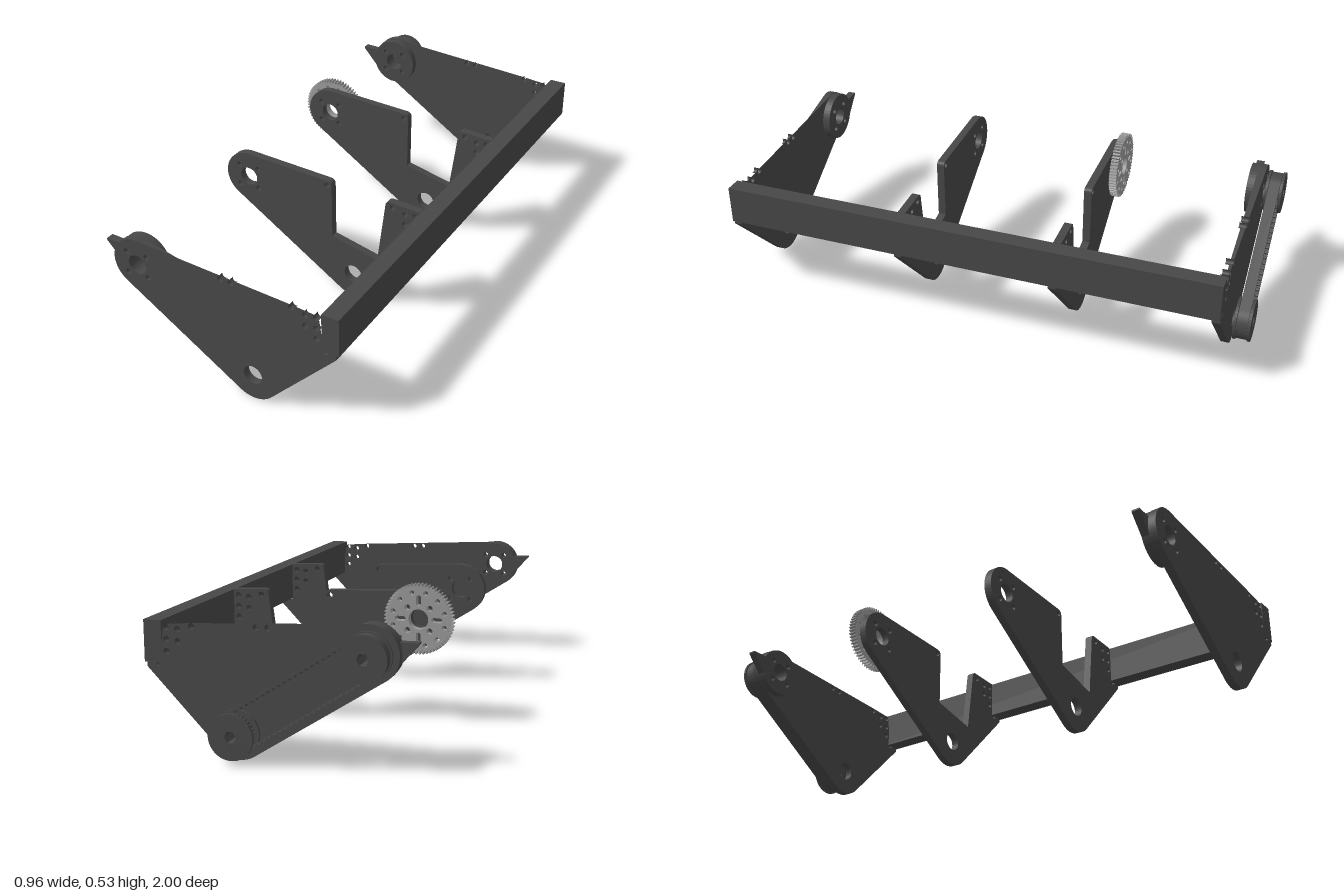
import * as THREE from 'three';

const A = [-0.327, 0.4];   // upper shaft centre
const B = [0.135, 0.1];    // lower shaft centre
const BOLT = 0.011, BORE = 0.037, HEX = 0.022;
const TURN = Math.PI * 2;

const dark = new THREE.MeshStandardMaterial({ color: 0x474747 });
dark.name = 'dark grey';
const light = new THREE.MeshStandardMaterial({ color: 0x999999 });
light.name = 'light grey';

function hole(shape, x, y, r) {
  shape.holes.push(new THREE.Path().absarc(x, y, r, 0, TURN, true));
}

// Four bolt holes and the bearing bore round the upper shaft
function hubHoles(shape, [cx, cy]) {
  hole(shape, cx, cy, BORE);
  for (const sx of [-1, 1]) for (const sy of [-1, 1]) {
    hole(shape, cx + sx * 0.042, cy + sy * 0.042, BOLT);
  }
}

function hexHole(shape, [cx, cy]) {
  const pts = [];
  for (let i = 0; i < 6; i++) {
    const a = -i * TURN / 6;
    pts.push(new THREE.Vector2(cx + HEX * Math.cos(a), cy + HEX * Math.sin(a)));
  }
  shape.holes.push(new THREE.Path(pts));
}

// Flat part spanning z0 to z1
function slab(name, shape, z0, z1, material = dark) {
  const geo = new THREE.ExtrudeGeometry(shape, { depth: z1 - z0, bevelEnabled: false, curveSegments: 20 });
  geo.translate(0, 0, z0);
  const mesh = new THREE.Mesh(geo, material);
  mesh.name = name;
  return mesh;
}

// Side plate, notched for the beam; the inner ones also have a cutout in the top edge
function plateShape(cutout) {
  const s = new THREE.Shape();
  s.moveTo(0.415, 0.464);
  if (cutout) {
    s.lineTo(0.29, 0.471);
    s.quadraticCurveTo(0.275, 0.471, 0.273, 0.456);
    s.lineTo(0.24, 0.2);
    s.lineTo(0.045, 0.245);
    s.lineTo(0.045, 0.462);
    s.quadraticCurveTo(0.045, 0.482, 0.025, 0.483);
  }
  s.absarc(A[0], A[1], 0.1, 1.52, 4.136, false);
  s.absarc(B[0], B[1], 0.1, 4.136, 5.513, false);
  s.lineTo(0.47, 0.3);
  s.lineTo(0.47, 0.315);
  s.absarc(0.427, 0.315, BOLT, 0, Math.PI, true);
  s.closePath();
  hubHoles(s, A);
  hole(s, B[0], B[1], BORE);
  const bolts = [[0.302, 0.45], [0.354, 0.437], [0.396, 0.442], [0.354, 0.395], [0.396, 0.4], [0.396, 0.358], [0.025, 0.463]];
  if (!cutout) bolts.push([0.067, 0.461]);
  for (const [x, y] of bolts) hole(s, x, y, BOLT);
  return s;
}

// Disc with a pointed finger
function pointerShape() {
  const s = new THREE.Shape();
  s.absarc(A[0], A[1], 0.098, -2.8, 2.72, false);
  s.lineTo(-0.481, 0.442);
  s.lineTo(-0.481, 0.436);
  s.closePath();
  hubHoles(s, A);
  return s;
}

// Ring of trapezoid teeth
function toothedShape([cx, cy], count, root, tip) {
  const s = new THREE.Shape();
  for (let i = 0; i < count; i++) {
    for (const [f, r] of [[0, root], [0.28, root], [0.5, tip], [0.75, tip]]) {
      const a = (i + f) * TURN / count;
      const x = cx + r * Math.cos(a), y = cy + r * Math.sin(a);
      if (i === 0 && f === 0) s.moveTo(x, y); else s.lineTo(x, y);
    }
  }
  s.closePath();
  return s;
}

function gearShape() {
  const s = toothedShape(A, 60, 0.12, 0.131);
  hubHoles(s, A);
  // Radial slots between the bolts and a ring of small holes outside them
  for (let i = 0; i < 4; i++) {
    const a = i * TURN / 4, c = Math.cos(a), n = Math.sin(a);
    const p = new THREE.Path();
    p.absarc(A[0] + 0.08 * c, A[1] + 0.08 * n, 0.009, a + Math.PI / 2, a - Math.PI / 2, true);
    p.absarc(A[0] + 0.058 * c, A[1] + 0.058 * n, 0.009, a - Math.PI / 2, a - Math.PI * 1.5, true);
    s.holes.push(p);
  }
  for (let i = 0; i < 12; i++) {
    const a = (i + 0.5) * TURN / 12;
    hole(s, A[0] + 0.1 * Math.cos(a), A[1] + 0.1 * Math.sin(a), 0.009);
  }
  return s;
}

// Belt loop round both pulleys, with teeth on its inside
function beltShape() {
  const dx = B[0] - A[0], dy = B[1] - A[1], len = Math.hypot(dx, dy);
  const ux = dx / len, uy = dy / len, tilt = Math.atan2(dy, dx);
  const s = new THREE.Shape();
  s.absarc(A[0], A[1], 0.076, tilt + Math.PI / 2, tilt + Math.PI * 1.5, false);
  s.absarc(B[0], B[1], 0.076, tilt - Math.PI / 2, tilt + Math.PI / 2, false);
  s.closePath();
  const p = new THREE.Path();
  const r = 0.068, teeth = 24;
  const strand = (centre, sign, side) => {
    for (let i = 0; i < teeth; i++) {
      for (const [f, d] of [[0.1, r], [0.4, r], [0.5, r - 0.006], [0.9, r - 0.006]]) {
        const t = sign * len * (i + f) / teeth;
        p.lineTo(centre[0] + ux * t - uy * side * d, centre[1] + uy * t + ux * side * d);
      }
    }
  };
  p.absarc(A[0], A[1], r, tilt + Math.PI * 1.5, tilt + Math.PI / 2, true);
  strand(A, 1, 1);
  p.absarc(B[0], B[1], r, tilt + Math.PI / 2, tilt - Math.PI / 2, true);
  strand(B, -1, -1);
  s.holes.push(p);
  return s;
}

// Toothed pulley between two flanges, with a hexagonal bore
function pulley(name, centre) {
  const g = new THREE.Group();
  g.name = name;
  const core = toothedShape(centre, 28, 0.061, 0.067);
  hexHole(core, centre);
  g.add(slab('pulleyCore', core, -0.99, -0.945));
  for (const z of [-1, -0.945]) {
    const rim = new THREE.Shape().absarc(centre[0], centre[1], 0.081, 0, TURN, false);
    hexHole(rim, centre);
    g.add(slab('pulleyFlange', rim, z, z + 0.01));
  }
  return g;
}

export function createModel() {
  const model = new THREE.Group();
  model.name = 'pivotFrame';

  const beam = new THREE.Mesh(new THREE.BoxGeometry(0.065, 0.147, 1.925), dark);
  beam.name = 'crossBeam';
  beam.position.set(0.4475, 0.3895, 0.0375);
  model.add(beam);

  model.add(slab('frontPlate', plateShape(false), 0.97, 1));
  model.add(slab('frontInnerPlate', plateShape(true), 0.285, 0.315));
  model.add(slab('backInnerPlate', plateShape(true), -0.325, -0.295));
  model.add(slab('backPlate', plateShape(false), -0.925, -0.895));

  model.add(slab('frontPointer', pointerShape(), 0.94, 0.97));
  model.add(slab('backPointer', pointerShape(), -0.895, -0.865));

  model.add(slab('gear', gearShape(), -0.355, -0.325, light));
  model.add(pulley('upperPulley', A));
  model.add(pulley('lowerPulley', B));
  model.add(slab('belt', beltShape(), -0.988, -0.947));
  return model;
}
